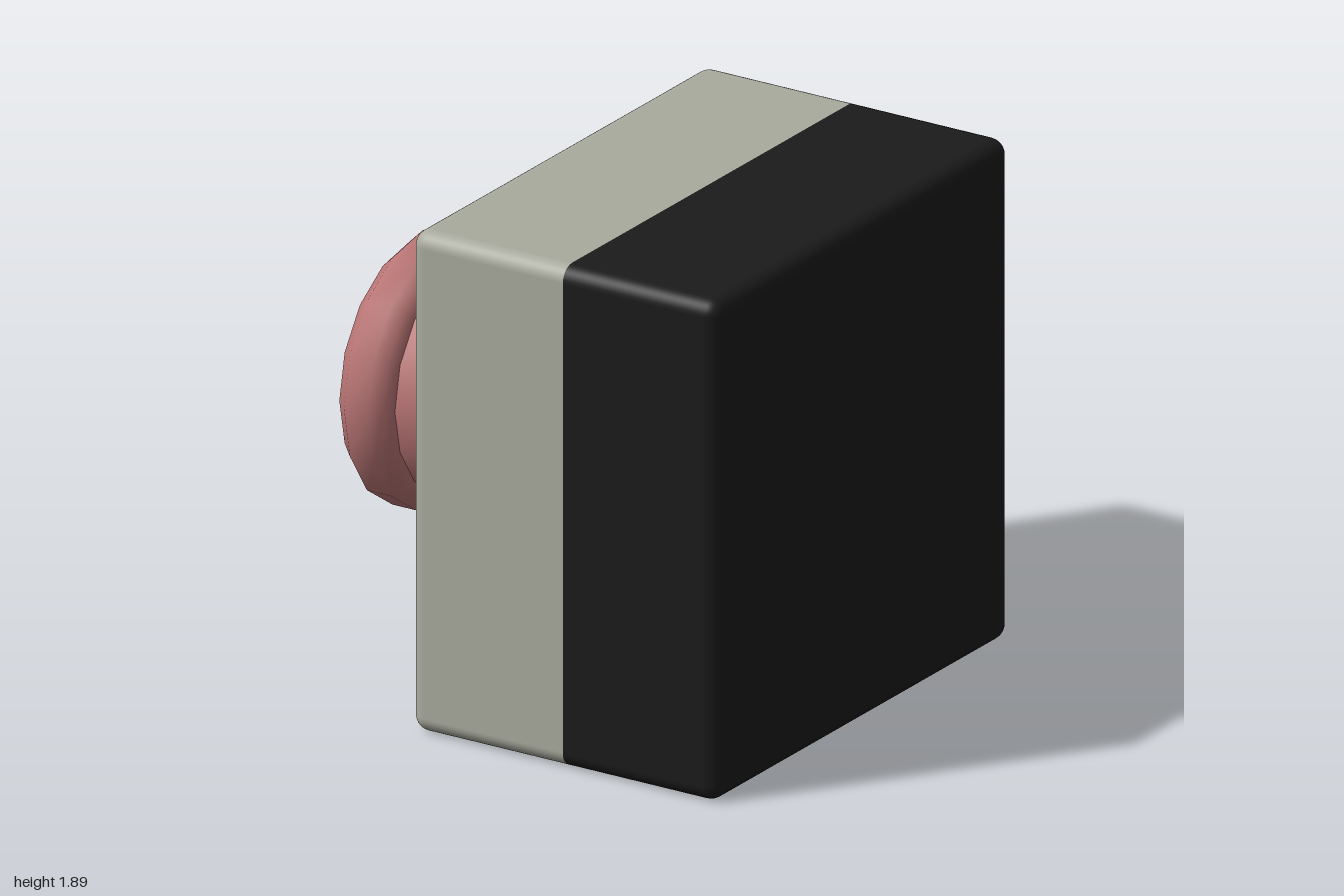
import * as THREE from 'three';
import { RoundedBoxGeometry } from 'three/addons/geometries/RoundedBoxGeometry.js';
import { toCreasedNormals } from 'three/addons/utils/BufferGeometryUtils.js';

const SIZE = 1.886, MID = SIZE / 2;
const FRONT = -0.28, SEAM = 0.36, BACK = 1;

const paint = (color) => new THREE.MeshStandardMaterial({ color });

function addMesh(parent, name, geometry, material) {
  const mesh = new THREE.Mesh(geometry, material);
  mesh.name = name;
  parent.add(mesh);
  return mesh;
}

// One half of the rounded enclosure, cut flat at the seam
function halfBox(from, to) {
  const geo = new RoundedBoxGeometry(BACK - FRONT, SIZE, SIZE, 4, 0.06);
  geo.translate((FRONT + BACK) / 2, MID, 0);
  const pos = geo.attributes.position;
  for (let i = 0; i < pos.count; i++) {
    pos.setX(i, THREE.MathUtils.clamp(pos.getX(i), from, to));
  }
  return geo;
}

// Turned part along x; profile holds [x, radius] running towards -x
function turned(profile, sides, crease = 0.7) {
  const points = profile.map(([x, r]) => new THREE.Vector2(r, -x));
  const geo = new THREE.LatheGeometry(points, sides);
  geo.rotateZ(Math.PI / 2);
  return toCreasedNormals(geo, crease);
}

export function createModel() {
  const model = new THREE.Group();
  model.name = 'pushButtonBox';
  const red = paint(0xb87474);

  // Enclosure
  addMesh(model, 'cover', halfBox(FRONT, SEAM), paint(0xa9aa9e));
  addMesh(model, 'base', halfBox(SEAM, BACK), paint(0x1b1b1b));

  // Button stack
  const button = new THREE.Group();
  button.name = 'button';
  button.position.y = MID;
  model.add(button);

  addMesh(button, 'collar', turned([[-0.27, 0], [-0.27, 0.403], [-0.48, 0.403], [-0.48, 0]], 16),
    paint(0x8c8a8c));
  addMesh(button, 'stem', turned([
    [-0.47, 0], [-0.47, 0.418], [-0.48, 0.43], [-0.72, 0.43], [-0.72, 0],
  ], 16), red);
  addMesh(button, 'mushroomHead', turned([
    [-0.675, 0], [-0.675, 0.44], [-0.7, 0.472], [-0.74, 0.503], [-0.84, 0.503],
    [-0.895, 0.448], [-0.94, 0.365], [-0.972, 0.265], [-0.992, 0.14], [-1, 0],
  ], 16, 0.9), red);

  // Domed cover screws
  const screwGeo = turned([
    [-0.27, 0.083], [-0.29, 0.083], [-0.305, 0.075], [-0.319, 0.05], [-0.325, 0],
  ], 16, 1);
  const steel = paint(0x707070);
  for (const sy of [-1, 1]) {
    for (const sz of [-1, 1]) {
      addMesh(model, 'screw', screwGeo, steel).position.set(0, MID + sy * 0.751, sz * 0.751);
    }
  }
  return model;
}
